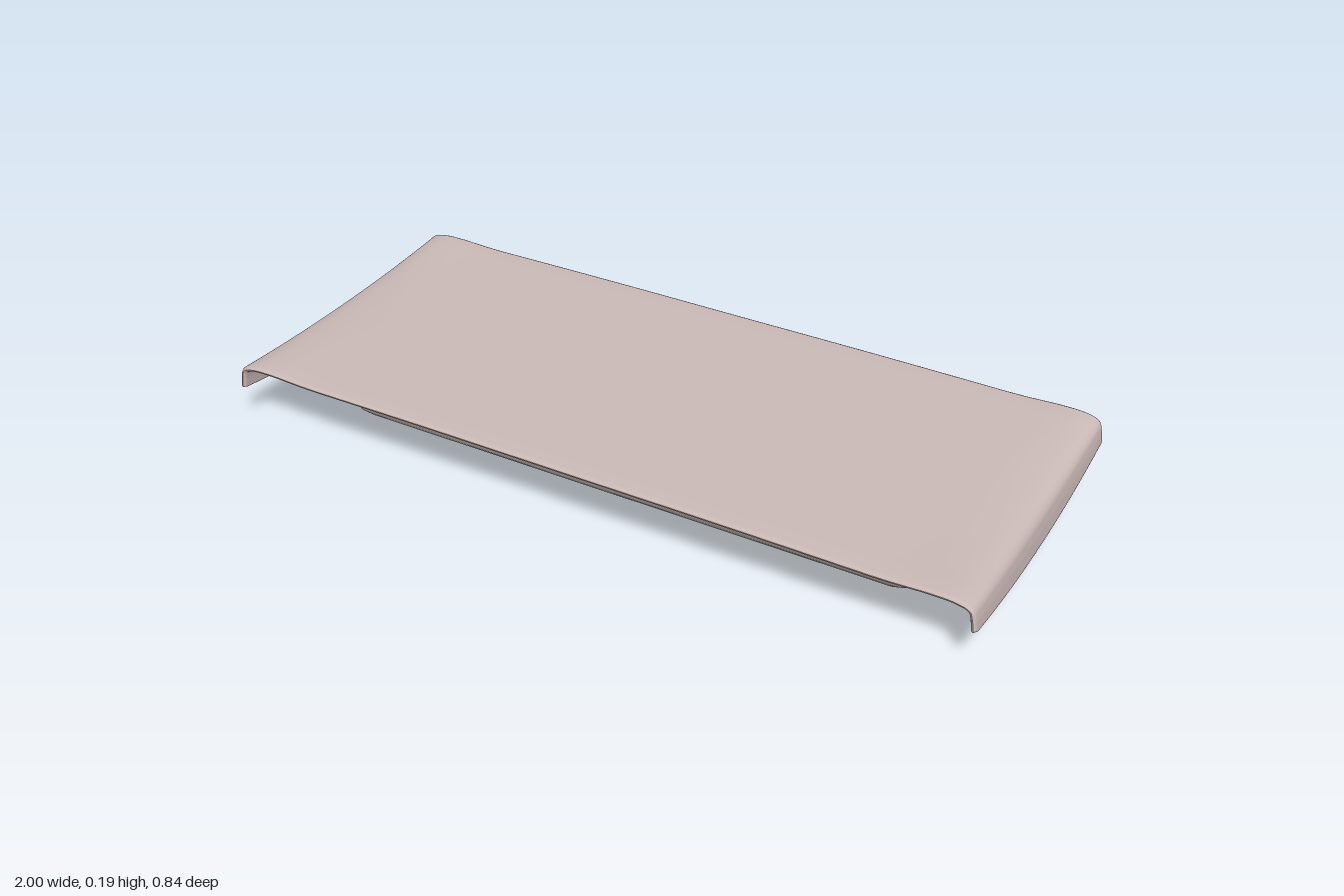
import * as THREE from 'three';

const shell = new THREE.MeshStandardMaterial({ color: 0xcbbab8 });
shell.name = 'dusty pink shell';
const accent = new THREE.MeshStandardMaterial({ color: 0xb03852 });
accent.name = 'crimson accent';

// Skin a list of closed rings; pick(centre) tells which faces take the second material.
function loft(rings, pick = () => false) {
  const n = rings[0].length, pts = rings.flat(), main = [], second = [];
  for (let k = 0; k < rings.length - 1; k++) {
    for (let j = 0; j < n; j++) {
      const a = k * n + j, b = k * n + (j + 1) % n, c = a + n, d = b + n;
      const centre = new THREE.Vector3();
      [a, b, c, d].forEach(i => centre.addScaledVector(pts[i], 0.25));
      (pick(centre, pts[a].distanceTo(pts[b])) ? second : main).push(a, c, b, b, c, d);
    }
  }
  const geo = new THREE.BufferGeometry().setFromPoints(pts);
  geo.setIndex([...main, ...second]);
  geo.addGroup(0, main.length, 0);
  geo.addGroup(main.length, second.length, 1);
  geo.computeVertexNormals();
  return geo;
}

// Thin top slab whose two ends curl down into lips
function makeTop() {
  const half = [[0.4, 0.177], [0.8, 0.174], [0.9, 0.171], [0.955, 0.164], [0.98, 0.149],
    [0.987, 0.125], [0.99, 0.1], [0.992, 0.076]];
  const right = half.map(([x, y]) => new THREE.Vector2(x, y));
  const left = half.map(([x, y]) => new THREE.Vector2(-x, y)).reverse();
  const line = new THREE.SplineCurve([...left, new THREE.Vector2(0, 0.177), ...right]);
  const steps = 96, zs = [[-0.421, 0], [-0.419, 0.6], [-0.412, 1]];
  for (let i = 1; i < 16; i++) zs.push([-0.412 + 0.824 * i / 16, 1]);
  zs.push([0.412, 1], [0.419, 0.6], [0.421, 0]);

  const rings = zs.map(([z, thick]) => {
    const upper = [], lower = [], u2 = (z / 0.42) ** 2;
    for (let i = 0; i <= steps; i++) {
      const p = line.getPoint(i / steps), t = line.getTangent(i / steps);
      // lips are shallower towards the corners
      const rise = u2 * (0.012 * THREE.MathUtils.smoothstep(Math.abs(p.x), 0.75, 1)
        + 0.025 * THREE.MathUtils.clamp((0.164 - p.y) / 0.084, 0, 1));
      const h = (i === 0 || i === steps ? 0.002 : 0.008) * thick;
      upper.push(new THREE.Vector3(p.x - t.y * h, p.y + t.x * h + rise, z));
      lower.push(new THREE.Vector3(p.x + t.y * h, p.y - t.x * h + rise, z));
    }
    return [...upper, ...lower.reverse()];
  });
  return loft(rings);
}

// Rounded rectangle ring at one height
function ring([y, hx, back, front, r]) {
  const pts = [], cz = (back + front) / 2, hz = (front - back) / 2;
  for (let q = 0; q < 4; q++) {
    const sx = q === 0 || q === 3 ? 1 : -1, sz = q < 2 ? 1 : -1;
    for (let i = 0; i <= 8; i++) {
      const a = (q + i / 8) * Math.PI / 2;
      pts.push(new THREE.Vector3(sx * (hx - r) + r * Math.cos(a), y, cz + sz * (hz - r) + r * Math.sin(a)));
    }
  }
  return pts;
}

// Shallow tub below, pinched at the neck: height, half width, back z, front z, corner radius
function makeBase() {
  const levels = [
    [0, 0, 0, 0, 0],
    [0, 0.73, -0.24, 0.2, 0.05],
    [0.003, 0.762, -0.262, 0.222, 0.055],
    [0.01, 0.783, -0.277, 0.237, 0.06],
    [0.022, 0.797, -0.288, 0.248, 0.06],
    [0.04, 0.8, -0.293, 0.256, 0.06],
    [0.06, 0.792, -0.295, 0.264, 0.06],
    [0.08, 0.777, -0.294, 0.27, 0.06],
    [0.095, 0.766, -0.294, 0.273, 0.06],
    [0.11, 0.761, -0.295, 0.276, 0.06],
    [0.125, 0.764, -0.298, 0.279, 0.06],
    [0.14, 0.773, -0.305, 0.284, 0.06],
    [0.155, 0.786, -0.318, 0.292, 0.06],
    [0.172, 0.81, -0.345, 0.305, 0.06],
  ];
  // accent strips run along the pinched neck at both ends
  const strip = (c, width) => Math.abs(c.x) > 0.7 && width > 0.3
    && (c.x > 0 ? c.y > 0.08 && c.y < 0.14 : c.y > 0.06 && c.y < 0.11);
  return loft(levels.map(ring), strip);
}

export function createModel() {
  const model = new THREE.Group();
  model.name = 'tray';
  const top = new THREE.Mesh(makeTop(), shell);
  top.name = 'topSlab';
  const base = new THREE.Mesh(makeBase(), [shell, accent]);
  base.name = 'base';
  model.add(top, base);
  return model;
}
